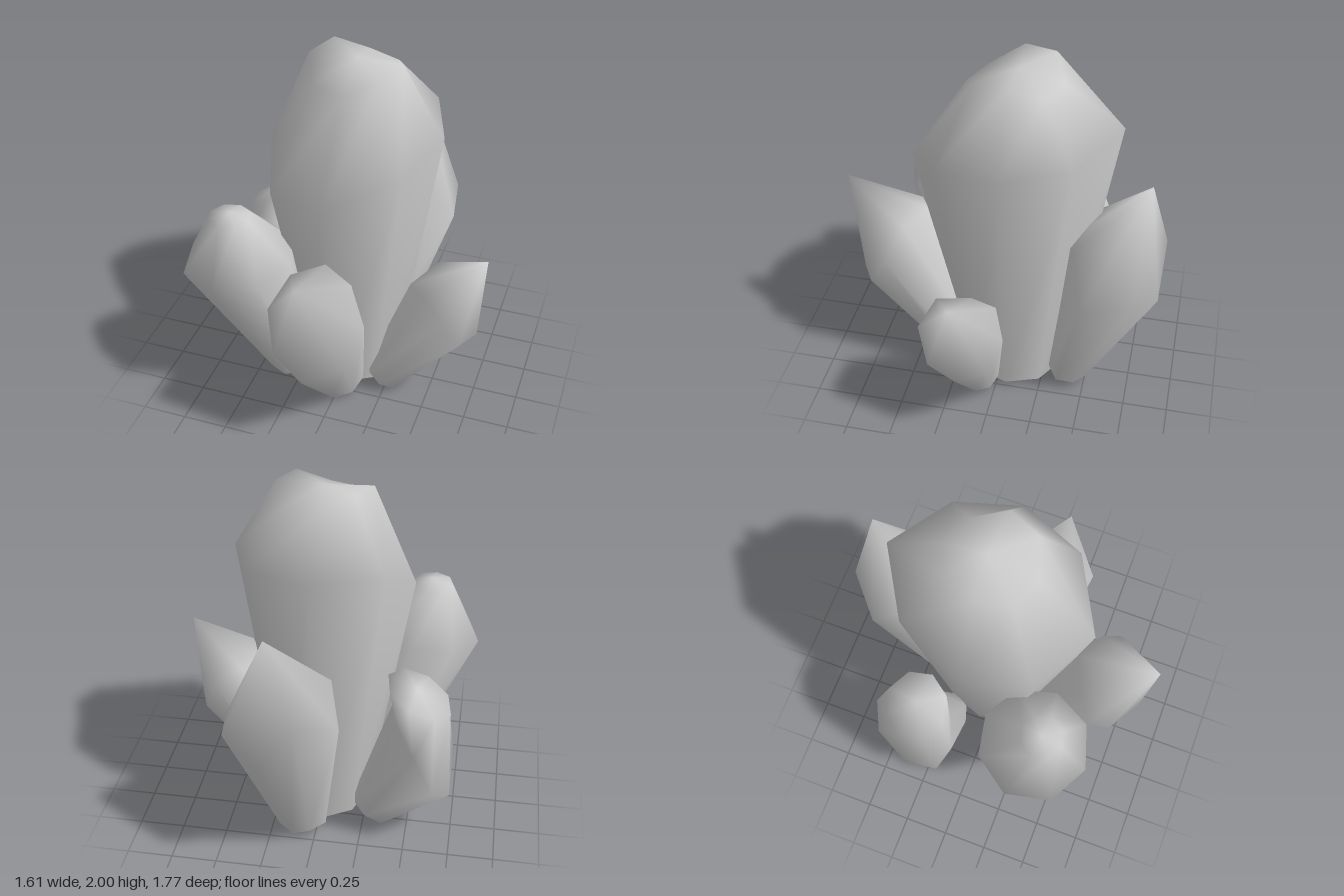
import * as THREE from 'three';

const SIDES = 8;
const UP = new THREE.Vector3(0, 1, 0);
const material = new THREE.MeshStandardMaterial({ color: 0xcccccc });

// Uneven value around a ring, as a short sum of waves.
const wave = ([mean, c1 = 0, s1 = 0, c2 = 0, s2 = 0, c3 = 0, c4 = 0]) => a =>
  mean + c1 * Math.cos(a) + s1 * Math.sin(a) + c2 * Math.cos(2 * a) +
  s2 * Math.sin(2 * a) + c3 * Math.cos(3 * a) + c4 * Math.cos(4 * a);

// One crystal: a narrow base flaring to an uneven shoulder, closed by a point
// or a blunt crown. Angle 0 of each ring faces outward along the heading.
function crystal({ name, base, heading, tilt, flare, radius, shoulder, crown, apex }) {
  const out = new THREE.Vector3(heading[0], 0, heading[1]).normalize();
  const side = new THREE.Vector3(out.z, 0, -out.x);
  const t = THREE.MathUtils.degToRad(tilt);
  const axis = UP.clone().multiplyScalar(Math.cos(t)).addScaledVector(out, Math.sin(t));
  const across = out.clone().multiplyScalar(Math.cos(t)).addScaledVector(UP, -Math.sin(t));

  const ring = (centre, u, normal, r, h) => Array.from({ length: SIDES }, (_, i) => {
    const a = (i / SIDES) * Math.PI * 2;
    return new THREE.Vector3(...centre)
      .addScaledVector(u, r(a) * Math.cos(a))
      .addScaledVector(side, r(a) * Math.sin(a))
      .addScaledVector(normal, h(a));
  });

  const width = wave(radius);
  const rings = [
    ring(base, across, axis, a => width(a) * flare, () => 0),
    ring(base, across, axis, width, wave(shoulder)),
  ];
  if (crown) rings.push(ring(crown.centre, out, UP, () => crown.radius, wave(crown.rise)));

  // Skin the rings, then fan the base and the top.
  const points = [...rings.flat(), new THREE.Vector3(...base), new THREE.Vector3(...apex)];
  const bottom = rings.length * SIDES;
  const last = bottom - SIDES;
  const index = [];
  for (let i = 0; i < SIDES; i++) {
    const j = (i + 1) % SIDES;
    for (let k = 0; k < last; k += SIDES) {
      index.push(k + i, k + j, k + SIDES + j, k + i, k + SIDES + j, k + SIDES + i);
    }
    index.push(bottom, j, i, bottom + 1, last + i, last + j);
  }
  const geometry = new THREE.BufferGeometry().setFromPoints(points);
  geometry.setIndex(index);
  geometry.computeVertexNormals();
  const mesh = new THREE.Mesh(geometry, material);
  mesh.name = name;
  return mesh;
}

export function createModel() {
  const group = new THREE.Group();
  group.name = 'crystalCluster';

  // Tall upright crystal in the middle
  group.add(crystal({
    name: 'mainCrystal', base: [0, 0.03, -0.06], heading: [0, 1], tilt: 0, flare: 0.52,
    radius: [0.51, 0, 0, 0.042, 0, 0, 0.01], shoulder: [1.51, -0.15, 0.075, 0.01, 0.06],
    crown: { centre: [0, 1.945, -0.06], radius: 0.25, rise: [0, -0.02, 0, -0.04, 0.04] },
    apex: [0, 1.985, -0.08],
  }));

  // Pointed crystals leaning outward
  group.add(crystal({
    name: 'frontCrystal', base: [0, 0.08, 0.2], heading: [0, 1], tilt: 29, flare: 0.5,
    radius: [0.27, 0.03, 0, 0.01, 0, 0, 0.01], shoulder: [0.84, -0.14, 0.02, 0, 0, 0.025],
    apex: [0, 1.2, 0.88],
  }));
  group.add(crystal({
    name: 'leftCrystal', base: [0.24, 0.07, 0.1], heading: [1, 0.02], tilt: 30, flare: 0.5,
    radius: [0.23], shoulder: [0.7, -0.055, 0, -0.05, 0, 0.045],
    apex: [0.79, 1.02, 0.12],
  }));
  group.add(crystal({
    name: 'backCrystal', base: [0.08, 0.08, -0.39], heading: [0.08, -0.27], tilt: 15.5, flare: 0.43,
    radius: [0.3, 0.01, 0, -0.02, -0.02, 0, 0.015], shoulder: [0.915, -0.02, 0.06, 0, 0.04, 0, -0.075],
    apex: [0.18, 1.49, -0.8],
  }));

  // Blunt crystals leaning outward
  group.add(crystal({
    name: 'frontRightCrystal', base: [-0.28, 0.13, 0.19], heading: [-0.24, 0.18], tilt: 19, flare: 0.46,
    radius: [0.305, 0.025], shoulder: [0.85, 0.06],
    crown: { centre: [-0.54, 1.21, 0.41], radius: 0.115, rise: [0] },
    apex: [-0.54, 1.235, 0.41],
  }));
  group.add(crystal({
    name: 'backRightCrystal', base: [-0.3, 0.11, -0.25], heading: [-0.22, -0.05], tilt: 27, flare: 0.5,
    radius: [0.265, 0.035, 0, 0.01], shoulder: [0.6, -0.17, 0, -0.06],
    crown: { centre: [-0.54, 0.93, -0.31], radius: 0.175, rise: [0, -0.08] },
    apex: [-0.53, 0.96, -0.31],
  }));

  return group;
}
